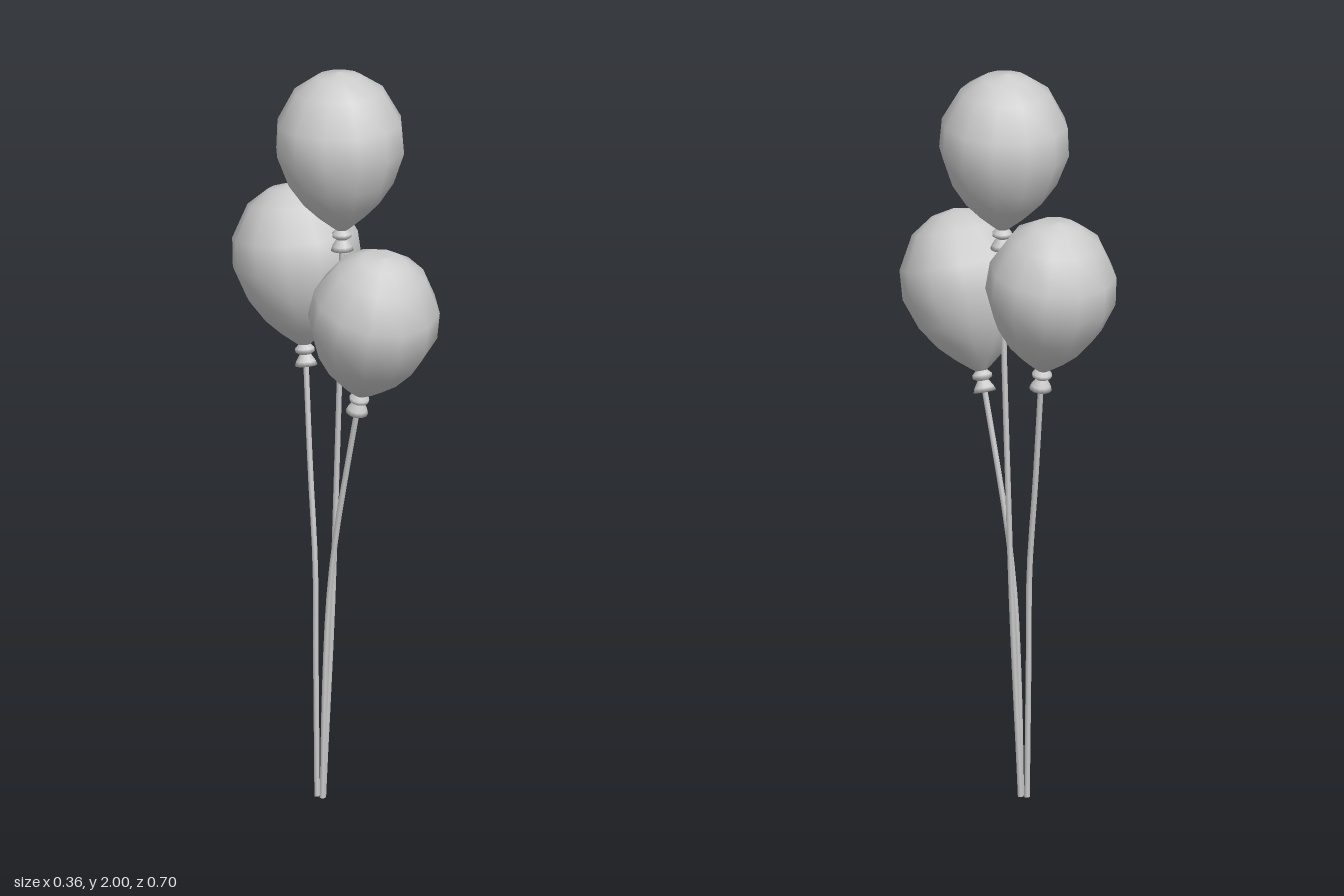
import * as THREE from 'three';

const grey = new THREE.MeshStandardMaterial({ color: 0xcccccc });
grey.name = 'light grey';

const v = (x, y, z) => new THREE.Vector3(x, y, z);
const lathe = (profile, phase) =>
  new THREE.LatheGeometry(profile.map(([r, y]) => new THREE.Vector2(r, y)), 12, phase);

// Profiles as [radius, height above the open end of the knot]
const skirtProfile = [[0, 0.006], [0.03, 0], [0.026, 0.012], [0.012, 0.034]];
const beadProfile = [[0.012, 0.028], [0.026, 0.037], [0.026, 0.046], [0.014, 0.058]];
const bodyProfile = [
  [0.013, 0.054], [0.026, 0.064], [0.062, 0.093], [0.102, 0.132], [0.142, 0.19],
  [0.172, 0.272], [0.167, 0.35], [0.119, 0.437], [0.06, 0.476], [0, 0.488],
];

// knot: lower end of the knot, lean: direction of the balloon's axis, path: string from the knot down
const balloons = [
  {
    name: 'topBalloon', phase: 0.2, knot: v(0.01, 1.512, 0.005), lean: v(0, 1, -0.035),
    path: [v(0.008, 1.2, -0.003), v(0.004, 0.85, -0.014), v(-0.005, 0.5, -0.02), v(-0.028, 0.04, -0.024), v(-0.03, 0, -0.024)],
  },
  {
    name: 'frontBalloon', phase: 0.35, knot: v(-0.005, 1.092, 0.093), lean: v(-0.02, 0.957, 0.29),
    path: [v(-0.01, 0.92, 0.053), v(-0.018, 0.73, 0.016), v(-0.024, 0.55, -0.007), v(-0.032, 0.3, -0.015), v(-0.037, 0, -0.018)],
  },
  {
    name: 'backBalloon', phase: 0.28, knot: v(-0.008, 1.158, -0.133), lean: v(0.015, 0.985, -0.168),
    path: [v(-0.022, 0.89, -0.095), v(-0.032, 0.63, -0.058), v(-0.036, 0.4, -0.05), v(-0.04, 0, -0.038)],
  },
];

export function createModel() {
  const model = new THREE.Group();
  model.name = 'balloonBunch';
  const up = v(0, 1, 0);

  for (const { name, phase, knot, lean, path } of balloons) {
    // Balloon with its knot, leaning as one piece
    const balloon = new THREE.Group();
    balloon.name = name;
    balloon.position.copy(knot);
    balloon.quaternion.setFromUnitVectors(up, lean.clone().normalize());
    for (const [part, profile] of [['body', bodyProfile], ['knotBead', beadProfile], ['knotSkirt', skirtProfile]]) {
      const mesh = new THREE.Mesh(lathe(profile, phase), grey);
      mesh.name = part;
      balloon.add(mesh);
    }
    model.add(balloon);

    // String, running from inside the knot to the ground
    const start = knot.clone().addScaledVector(lean, 0.01);
    const curve = new THREE.CatmullRomCurve3([start, ...path]);
    const string = new THREE.Mesh(new THREE.TubeGeometry(curve, 14, 0.008, 6), grey);
    string.name = name.replace('Balloon', 'String');
    model.add(string);

    // Flat cut end of the string
    const end = new THREE.Mesh(new THREE.CircleGeometry(0.008, 6), grey);
    end.name = 'stringEnd';
    end.rotation.x = Math.PI / 2;
    end.position.copy(path[path.length - 1]);
    model.add(end);
  }
  return model;
}
